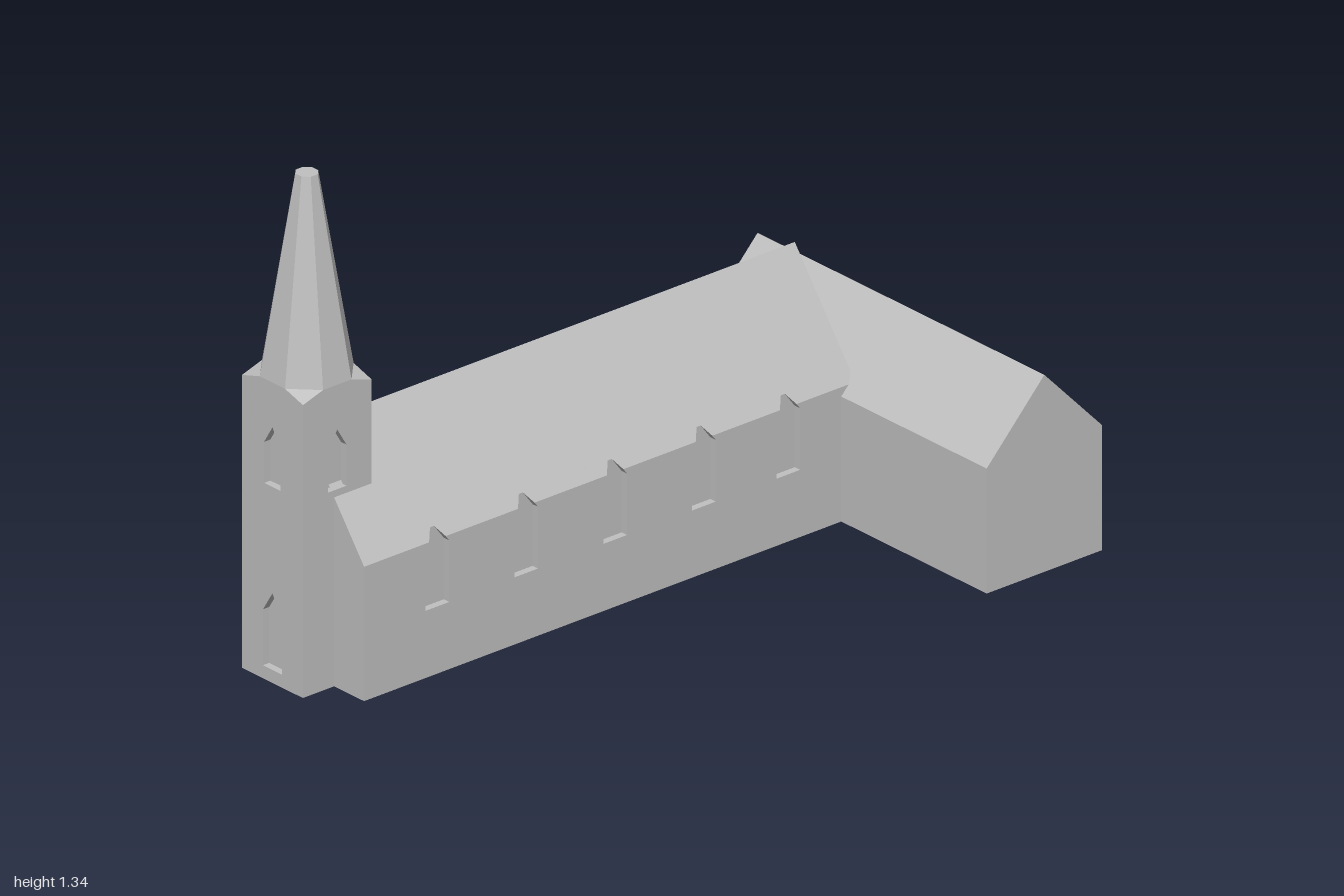
import * as THREE from 'three';

const stone = new THREE.MeshStandardMaterial({ color: 0xc0c0c0 });
stone.name = 'paleStone';

const AXIS_Z = -0.2325; // centre line of nave and tower
const HALF = 0.2225, EAVE = 0.36, RIDGE = 0.655, DEPTH = 0.02;
const INNER_EAVE = EAVE + DEPTH * (RIDGE - EAVE) / HALF;
const NAVE_X0 = -0.9, NAVE_X1 = 0.675;
const WINDOWS = [-0.665, -0.38, -0.095, 0.19, 0.46];

function mesh(name, geometry) {
  const m = new THREE.Mesh(geometry, stone);
  m.name = name;
  return m;
}

function shapeOf(points) {
  return new THREE.Shape(points.map(([x, y]) => new THREE.Vector2(x, y)));
}

function extrude(shape, depth) {
  return new THREE.ExtrudeGeometry(shape, { depth, bevelEnabled: false });
}

// Symmetric cross-section extruded along x from x0 to x1
function naveSection(name, points, x0, x1) {
  const m = mesh(name, extrude(shapeOf(points), x1 - x0).rotateY(Math.PI / 2));
  m.position.set(x0, 0, AXIS_Z);
  return m;
}

// Outer wall layer, slotted by pointed windows that bite into the eave
function naveWall(name, side) {
  const w = 0.038, sill = 0.18, shoulder = 0.345, tip = 0.395;
  const halfAt = (y) => w * (tip - y) / (tip - shoulder);
  const xs = WINDOWS.map((x) => x * side).sort((a, b) => b - a);
  const ends = [NAVE_X0 * side, NAVE_X1 * side].sort((a, b) => a - b);
  const top = halfAt(INNER_EAVE);
  const pts = [[ends[0], 0], [ends[1], 0], [ends[1], INNER_EAVE]];
  for (const x of xs) {
    pts.push([x + top, INNER_EAVE], [x + w, shoulder], [x + w, sill],
      [x - w, sill], [x - w, shoulder], [x - top, INNER_EAVE]);
  }
  pts.push([ends[0], INNER_EAVE]);
  const geo = extrude(shapeOf(pts), DEPTH);

  // Slope the top of the layer down to the eave
  const p = geo.attributes.position;
  for (let i = 0; i < p.count; i++) {
    if (p.getZ(i) < DEPTH / 2 || p.getY(i) < INNER_EAVE - 0.001) continue;
    p.setY(i, EAVE);
    const x = p.getX(i);
    const c = xs.find((v) => Math.abs(v - x) < 0.02);
    if (c !== undefined) p.setX(i, c + Math.sign(x - c) * halfAt(EAVE));
  }
  geo.computeVertexNormals();
  const m = mesh(name, geo);
  m.position.z = AXIS_Z + side * (HALF - DEPTH);
  if (side < 0) m.rotation.y = Math.PI;
  return m;
}

function buildNave() {
  const g = new THREE.Group();
  g.name = 'nave';
  const h = HALF - DEPTH;
  const slot = 0.03, slotTop = RIDGE - slot * (RIDGE - EAVE) / HALF;
  const lower = [[-h, 0], [h, 0], [h, INNER_EAVE]];
  g.add(naveSection('naveBody', [...lower, [0, RIDGE], [-h, INNER_EAVE]], -0.755, NAVE_X1));
  // Ridge is notched in front of the tower window
  g.add(naveSection('naveTowerEnd', [...lower, [slot, slotTop], [slot, 0.525],
    [-slot, 0.525], [-slot, slotTop], [-h, INNER_EAVE]], NAVE_X0, -0.755));
  g.add(naveWall('frontNaveWall', 1), naveWall('backNaveWall', -1));
  return g;
}

function buildTransept() {
  const geo = extrude(shapeOf([[0.63, 0], [1, 0], [1, 0.335], [0.815, 0.528], [0.63, 0.335]]), 1.055);
  const m = mesh('transept', geo);
  m.position.z = -0.53;
  return m;
}

// Flat-shaded skin through matching rings, closed at the top
function loft(rings) {
  const out = [];
  const tri = (a, b, c) => {
    if (a.equals(b) || b.equals(c) || a.equals(c)) return;
    for (const v of [a, b, c]) out.push(v.x, v.y, v.z);
  };
  const n = rings[0].length;
  for (let r = 0; r < rings.length - 1; r++) {
    const a = rings[r], b = rings[r + 1];
    for (let i = 0; i < n; i++) {
      const j = (i + 1) % n;
      tri(a[i], b[i], a[j]);
      tri(a[j], b[i], b[j]);
    }
  }
  const last = rings[rings.length - 1];
  const centre = new THREE.Vector3(0, last[0].y, 0);
  for (let i = 0; i < n; i++) tri(centre, last[(i + 1) % n], last[i]);
  const geo = new THREE.BufferGeometry();
  geo.setAttribute('position', new THREE.Float32BufferAttribute(out, 3));
  geo.computeVertexNormals();
  return geo;
}

function windowHole(w, sill, shoulder, tip) {
  return new THREE.Path([[-w, sill], [w, sill], [w, shoulder], [0, tip], [-w, shoulder]]
    .map(([x, y]) => new THREE.Vector2(x, y)));
}

function buildTower() {
  const g = new THREE.Group();
  g.name = 'tower';
  const R = 0.11, H = 0.785;

  const core = mesh('towerCore', new THREE.BoxGeometry(2 * (R - DEPTH), H, 2 * (R - DEPTH)));
  core.position.y = H / 2;
  g.add(core);

  // Four wall panels laid pinwheel fashion around the core
  ['front', 'left', 'back', 'right'].forEach((side, i) => {
    const s = shapeOf([[-R, 0], [R - DEPTH, 0], [R - DEPTH, H], [-R, H]]);
    s.holes.push(windowHole(0.03, 0.525, 0.635, 0.685));
    if (side === 'right') s.holes.push(windowHole(0.034, 0.035, 0.185, 0.24));
    const panel = mesh(side + 'TowerWall', extrude(s, DEPTH).translate(0, 0, R - DEPTH));
    panel.rotation.y = i * Math.PI / 2;
    g.add(panel);
  });

  // Square tower top broached into an octagonal spire
  const ring = (inradius, y) => Array.from({ length: 8 }, (_, k) => {
    const a = (k + 0.5) * Math.PI / 4, r = inradius / Math.cos(Math.PI / 8);
    return new THREE.Vector3(r * Math.cos(a), y, r * Math.sin(a));
  });
  const square = Array.from({ length: 8 }, (_, k) => {
    const a = (Math.floor(k / 2) + 0.5) * Math.PI / 2;
    return new THREE.Vector3(R * Math.sign(Math.cos(a)), H, R * Math.sign(Math.sin(a)));
  });
  g.add(mesh('spire', loft([square, ring(R, 0.805), ring(0.027, 1.335)])));

  g.position.set(-0.89, 0, AXIS_Z);
  g.scale.z = 1.02;
  return g;
}

export function createModel() {
  const model = new THREE.Group();
  model.name = 'church';
  model.add(buildNave(), buildTransept(), buildTower());
  return model;
}
